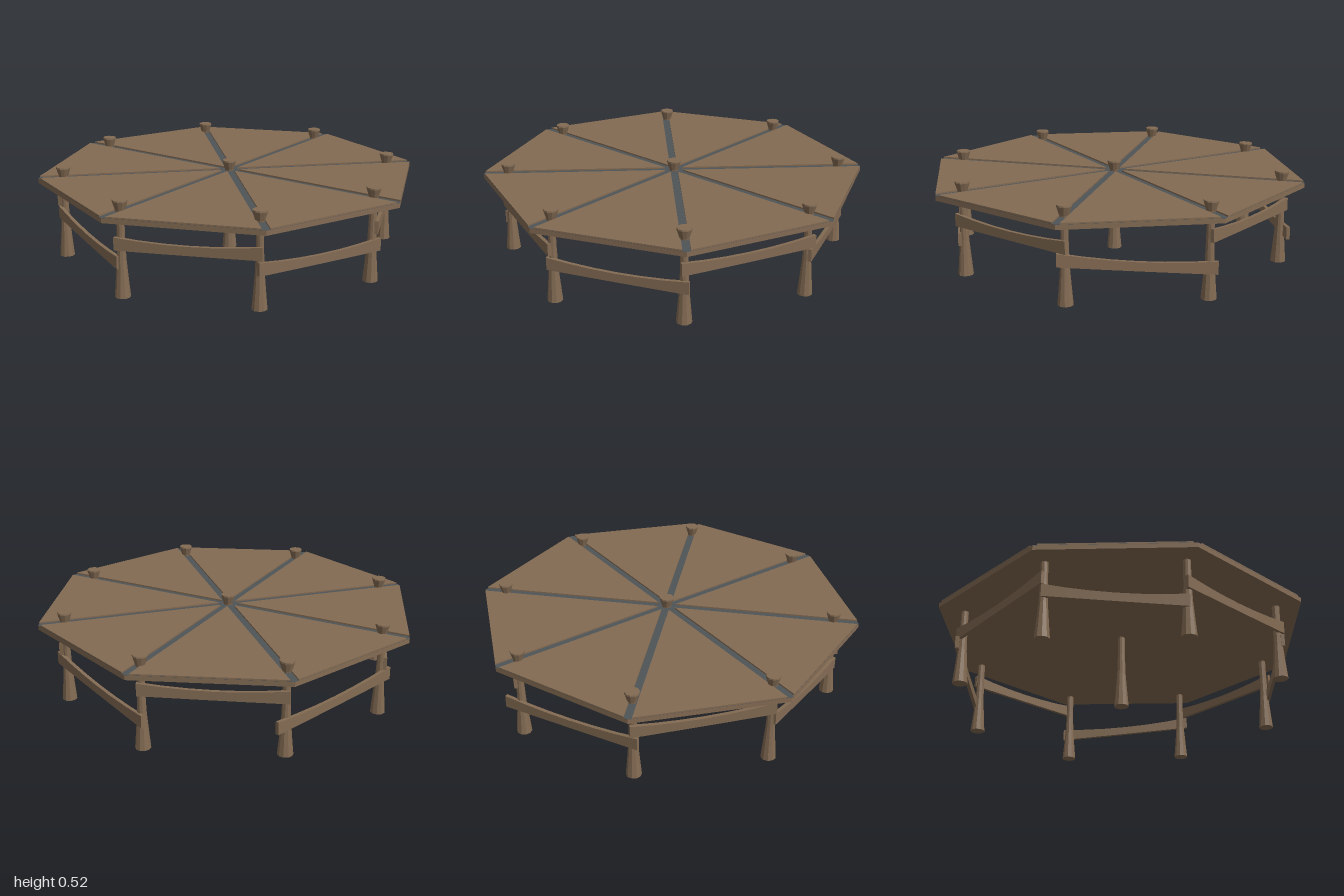
import * as THREE from 'three';

const wood = new THREE.MeshStandardMaterial({ color: 0x836b53, flatShading: true });
wood.name = 'wood';
const seam = new THREE.MeshStandardMaterial({ color: 0x4f5457, flatShading: true });
seam.name = 'seamGrey';

const EIGHTH = Math.PI / 8;
const SLAB_BOTTOM = 0.436, SEAM_Y = 0.463, TOP_Y = 0.471;

// Outer posts, going round from the front, as [x, z]
const POSTS = [
  [-0.36, 0.865], [0.355, 0.86], [0.865, 0.36], [0.875, -0.37],
  [0.36, -0.885], [-0.35, -0.865], [-0.87, -0.365], [-0.87, 0.36],
];

// Rail i joins post i to post i + 1: [start height, end height, start overhang, end overhang]
const RAILS = [
  [0.222, 0.208, 0.025, 0.035], [0.310, 0.312, 0.03, 0.03],
  [0.245, 0.172, 0.045, 0.04], [0.343, 0.333, 0.02, 0.02],
  [0.185, 0.230, 0.085, 0.045], [0.295, 0.335, 0.02, 0.02],
  [0.262, 0.192, 0.01, 0.01], [0.295, 0.302, 0.03, 0.02],
];

function mesh(name, geometry, material) {
  const m = new THREE.Mesh(geometry, material);
  m.name = name;
  return m;
}

function octagon(bottom, top) {
  const g = new THREE.CylinderGeometry(1 / Math.cos(EIGHTH), 1 / Math.cos(EIGHTH), top - bottom, 8, 1, false, EIGHTH);
  return g.translate(0, (bottom + top) / 2, 0);
}

// One top board: a wedge with its sides set back to leave a seam
function wedgeGeometry() {
  const half = 0.021;
  const edge = Math.tan(EIGHTH) - half / Math.cos(EIGHTH);
  const shape = new THREE.Shape();
  shape.moveTo(half / Math.sin(EIGHTH), 0);
  shape.lineTo(1, -edge);
  shape.lineTo(1, edge);
  shape.closePath();
  const g = new THREE.ExtrudeGeometry(shape, { depth: TOP_Y - SEAM_Y, bevelEnabled: false });
  return g.rotateX(-Math.PI / 2).translate(0, SEAM_Y, 0);
}

// Post with a wide foot, slim shaft and flared head
function postGeometry() {
  const profile = [[0, 0], [0.042, 0], [0.034, 0.09], [0.025, 0.2], [0.021, 0.32], [0.021, 0.43],
    [0.026, 0.47], [0.04, 0.515], [0.039, 0.523], [0, 0.523]];
  return new THREE.LatheGeometry(profile.map(([r, y]) => new THREE.Vector2(r, y)), 10);
}

// Plank that narrows and sags towards its middle
function railGeometry(length, startY, endY, startOver, endOver) {
  const g = new THREE.BoxGeometry(1, 2, 0.02, 6, 1, 1);
  const p = g.attributes.position;
  const total = length + startOver + endOver;
  for (let i = 0; i < p.count; i++) {
    const t = p.getX(i) + 0.5;
    const bow = 4 * t * (1 - t);
    const centre = startY + (endY - startY) * t - 0.012 * bow;
    p.setX(i, t * total - startOver);
    p.setY(i, centre + p.getY(i) * (0.035 - 0.011 * bow));
  }
  g.computeVertexNormals();
  return g;
}

export function createModel() {
  const model = new THREE.Group();
  model.name = 'octagonalPlatform';

  // Deck: base slab, recessed seam layer, eight boards
  model.add(mesh('deckBase', octagon(SLAB_BOTTOM, SEAM_Y - 0.001), wood));
  model.add(mesh('deckSeams', octagon(SEAM_Y - 0.001, SEAM_Y), seam));
  const wedge = wedgeGeometry();
  for (let i = 0; i < 8; i++) {
    const board = mesh('deckBoard', wedge, wood);
    board.rotation.y = i * 2 * EIGHTH;
    model.add(board);
  }

  // Posts at the corners and centre
  const post = postGeometry();
  [...POSTS, [0, 0]].forEach(([x, z], i) => {
    const m = mesh(i < 8 ? 'cornerPost' : 'centrePost', post, wood);
    m.position.set(x, 0, z);
    m.rotation.y = i * 0.7;
    model.add(m);
  });

  // Rails along the outside of the posts
  RAILS.forEach((rail, i) => {
    const [ax, az] = POSTS[i];
    const [bx, bz] = POSTS[(i + 1) % 8];
    const dx = bx - ax, dz = bz - az, length = Math.hypot(dx, dz);
    const m = mesh('rail', railGeometry(length, ...rail), wood);
    const out = 0.024;
    m.position.set(ax - (dz / length) * out, 0, az + (dx / length) * out);
    m.rotation.y = Math.atan2(-dz, dx);
    model.add(m);
  });

  return model;
}
